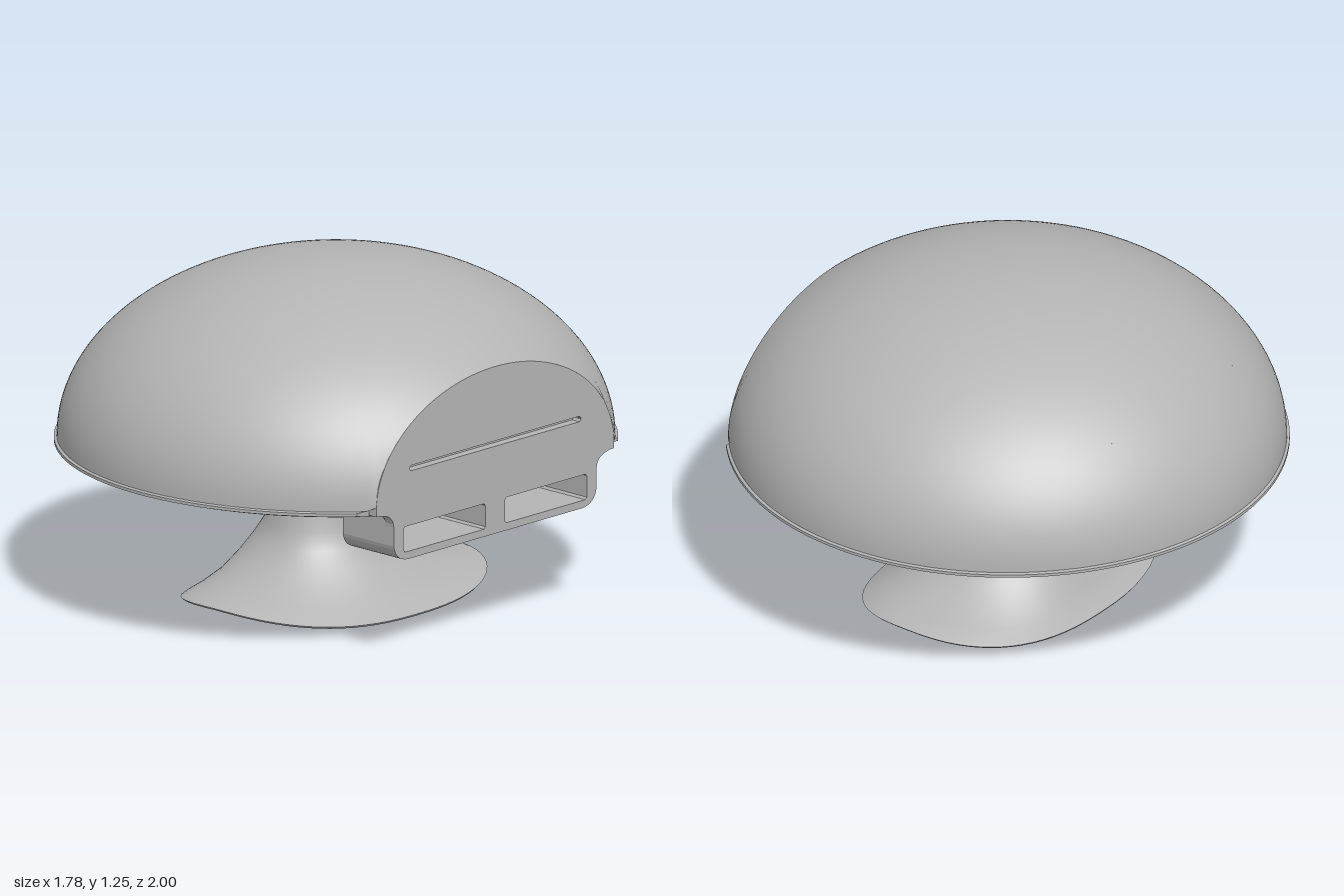
import * as THREE from 'three';
import { toCreasedNormals } from 'three/addons/utils/BufferGeometryUtils.js';

const CX = 0.11;     // centre of the round cap
const CUT = 0.78;    // flat side, measured from the cap centre

// Closed surface of rings, listed from the top pole outwards and round underneath
function loft(rings, segments, point, crease) {
  const pos = [], idx = [];
  rings.forEach((ring) => {
    for (let j = 0; j < segments; j++) pos.push(...point(ring, (j / segments) * Math.PI * 2));
  });
  for (let i = 0; i < rings.length - 1; i++) {
    for (let j = 0; j < segments; j++) {
      const a = i * segments + j, b = i * segments + (j + 1) % segments;
      idx.push(a, b, a + segments, b, b + segments, a + segments);
    }
  }
  const g = new THREE.BufferGeometry();
  g.setAttribute('position', new THREE.Float32BufferAttribute(pos, 3));
  g.setIndex(idx);
  return toCreasedNormals(g, crease);
}

const domeHeight = (r) => 0.6 + 0.66 * Math.sqrt(Math.max(0, 1 - (r / 0.99) ** 2));
const limit = (a, c) => (Math.cos(a) > 0.01 ? c / Math.cos(a) : 9);

// Hollow cap: domed outside, thin lip, underside band and a flat ceiling inside
function capGeometry() {
  const rings = [];
  for (let i = 0; i <= 40; i++) rings.push({ t: Math.sin((i / 40) * Math.PI / 2) });
  rings.push({ t: 1, back: true });
  const under = [[1, 0.596], [1, 0.585], [0.97, 0.575], [0.88, 0.55], [0.86, 0.55]];
  under.forEach(([r, y]) => rings.push({ r, y, c: 0.745 }));
  [[0.86, 0.62], [0.82, 0.84], [0.75, 0.98], [0, 0.98]].forEach(([r, y]) => rings.push({ r, y, c: 0.72 }));
  return loft(rings, 180, (k, a) => {
    let r, y;
    if (k.t !== undefined) {
      const edge = Math.min(0.99, limit(a, CUT));
      y = domeHeight(k.t * edge);
      r = k.back ? Math.min(edge, limit(a, 0.745)) : k.t * edge;
    } else {
      r = Math.min(k.r, limit(a, k.c));
      y = k.y;
    }
    return [CX + r * Math.cos(a), y, r * Math.sin(a)];
  }, 0.5);
}

// Flared saddle foot, arched underneath, with a round socket in its base
function footGeometry() {
  // y, left half width, right half width, half depth, arch amount, roundness power
  const rings = [
    [0.39, 0, 0, 0, 0, 2], [0.39, 0.2, 0.2, 0.23, 0, 2], [0.3, 0.24, 0.2, 0.25, 0, 2],
    [0.24, 0.275, 0.21, 0.285, 0.1, 2.1], [0.18, 0.31, 0.26, 0.35, 0.3, 2.2],
    [0.13, 0.345, 0.31, 0.43, 0.6, 2.3], [0.105, 0.37, 0.35, 0.52, 0.85, 2.4],
    [0.09, 0.4, 0.395, 0.59, 1, 2.4], [0.082, 0.41, 0.41, 0.61, 1, 2.4],
    [0.073, 0.405, 0.405, 0.6, 1, 2.4], [0.073, 0.3, 0.3, 0.45, 1, 2.3],
    [0.073, 0.18, 0.18, 0.25, 1, 2.1], [0.073, 0.06, 0.06, 0.06, 1, 2],
    [0.25, 0.06, 0.06, 0.06, 0, 2], [0.25, 0, 0, 0, 0, 2],
  ];
  return loft(rings, 72, ([y, left, right, depth, arch, n], a) => {
    const c = Math.cos(a), s = Math.sin(a);
    const dx = Math.sign(c) * Math.abs(c) ** (2 / n) * (c < 0 ? left : right);
    const dz = Math.sign(s) * Math.abs(s) ** (2 / n) * depth;
    return [0.1 + dx, y - arch * 0.38 * dx * dx, dz];
  }, 0.7);
}

function rectPath(x0, x1, y0, y1) {
  const c = 0.008, p = new THREE.Path();
  p.setFromPoints([[x0 + c, y0], [x1 - c, y0], [x1, y0 + c], [x1, y1 - c], [x1 - c, y1], [x0 + c, y1],
    [x0, y1 - c], [x0, y0 + c]].map(([x, y]) => new THREE.Vector2(x, y)));
  p.closePath();
  return p;
}

const slots = () => [rectPath(-0.47, -0.05, 0.418, 0.512), rectPath(0.05, 0.47, 0.418, 0.512)];

// Lower outline of the connector, from right shoulder round to left shoulder
function lowerOutline(shape) {
  shape.lineTo(0.52, 0.45);
  shape.quadraticCurveTo(0.51, 0.395, 0.45, 0.39);
  shape.lineTo(-0.45, 0.39);
  shape.quadraticCurveTo(-0.51, 0.395, -0.52, 0.45);
}

// Extrude a z-y outline along +x
function sideExtrude(shape, x0, x1) {
  const g = new THREE.ExtrudeGeometry(shape, { depth: x1 - x0, bevelEnabled: false, curveSegments: 8 });
  return g.rotateY(Math.PI / 2).translate(x0, 0, 0);
}

function sidePanelGeometry() {
  const s = new THREE.Shape();
  const half = Math.sqrt(0.99 ** 2 - CUT ** 2);
  s.moveTo(-half, 0.6);
  for (let i = 1; i <= 48; i++) {
    const z = -half * Math.cos((i / 48) * Math.PI);
    s.lineTo(z, domeHeight(Math.hypot(CUT, z)));
  }
  s.lineTo(half, 0.578);
  s.quadraticCurveTo(0.52, 0.575, 0.52, 0.52);
  lowerOutline(s);
  s.lineTo(-0.52, 0.52);
  s.quadraticCurveTo(-0.52, 0.575, -half, 0.578);
  s.closePath();
  s.holes.push(...slots(), rectPath(-0.44, 0.44, 0.712, 0.732));
  return sideExtrude(s, CX + CUT - 0.04, CX + CUT);
}

function connectorGeometry() {
  const s = new THREE.Shape();
  s.moveTo(-0.52, 0.575);
  s.lineTo(0.52, 0.575);
  lowerOutline(s);
  s.closePath();
  s.holes.push(...slots());
  return sideExtrude(s, 0.64, CX + CUT - 0.04);
}

export function createModel() {
  const model = new THREE.Group();
  const grey = new THREE.MeshStandardMaterial({ color: 0xb4b4b4 });
  grey.name = 'plain grey';
  const add = (name, geometry) => {
    const mesh = new THREE.Mesh(geometry, grey);
    mesh.name = name;
    model.add(mesh);
    return mesh;
  };

  add('domeCap', capGeometry());
  add('sidePanel', sidePanelGeometry());
  add('connectorBlock', connectorGeometry());
  add('connectorBack', new THREE.BoxGeometry(0.02, 0.14, 0.98)).position.set(0.65, 0.475, 0);
  add('connectorArm', new THREE.BoxGeometry(0.44, 0.11, 0.2)).position.set(0.43, 0.442, 0);
  add('foot', footGeometry());

  // Central hub from the neck up to the ceiling
  const hub = [[0, 0.37], [0.2, 0.375], [0.205, 0.41], [0.31, 0.49], [0.31, 0.505], [0.25, 0.515], [0.25, 0.985]]
    .map(([r, y]) => new THREE.Vector2(r, y));
  add('hub', toCreasedNormals(new THREE.LatheGeometry(hub, 64), 0.5)).position.x = 0.1;

  // Full-height ribs between hub and cap wall
  const rib = new THREE.Shape([[0.2, 0.5], [0.58, 0.515], [0.88, 0.565], [0.86, 0.75], [0.76, 0.975], [0.2, 0.975]]
    .map(([r, y]) => new THREE.Vector2(r, y)));
  const ribGeometry = new THREE.ExtrudeGeometry(rib, { depth: 0.08, bevelEnabled: false }).translate(0, 0, -0.04);
  [38, 90, 150, 210, 270, 322].forEach((deg) => {
    const mesh = add('rib', ribGeometry);
    mesh.position.x = 0.05;
    mesh.rotation.y = THREE.MathUtils.degToRad(deg);
  });
  return model;
}
